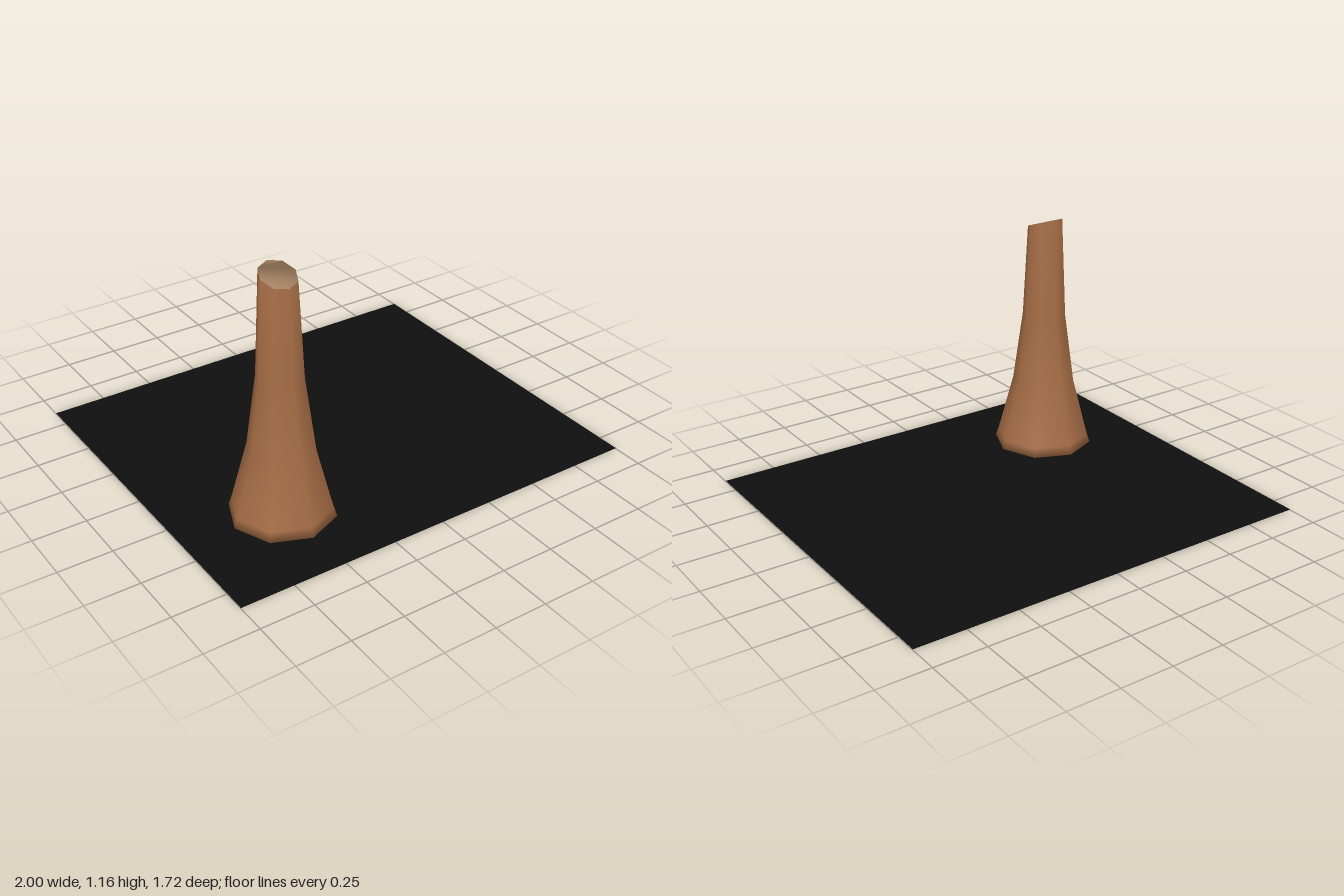
import * as THREE from 'three';

const bark = new THREE.MeshStandardMaterial({ color: 0xa56c45 });
bark.name = 'bark brown';
const cutWood = new THREE.MeshStandardMaterial({ color: 0xb8926f });
cutWood.name = 'cut wood tan';
const black = new THREE.MeshStandardMaterial({ color: 0x0e0e0e, side: THREE.DoubleSide });
black.name = 'base black';

const SIDES = 8;

// Flared eight-sided trunk; the last ring is sliced at a slant, both ends are closed.
function trunkGeometry() {
  const rings = [[0, 0.24], [0.045, 0.224], [0.33, 0.15], [0.67, 0.104], [1.13, 0.082]]; // height, radius
  const slant = 0.37;
  const positions = [];
  rings.forEach(([y, r], row) => {
    for (let i = 0; i < SIDES; i++) {
      const a = (i / SIDES) * Math.PI * 2; // corner 0 points to the front
      const z = Math.cos(a) * r;
      const top = row === rings.length - 1;
      positions.push(Math.sin(a) * r, top ? y - z * slant : y, z);
    }
  });

  // Side faces
  const index = [];
  for (let row = 0; row < rings.length - 1; row++) {
    for (let i = 0; i < SIDES; i++) {
      const a = row * SIDES + i;
      const b = row * SIDES + ((i + 1) % SIDES);
      index.push(a, b, b + SIDES, a, b + SIDES, a + SIDES);
    }
  }
  const sideCount = index.length;

  // End faces, filled in strips from front to back
  const cap = (start, up) => {
    const tri = (a, b, c) => index.push(start + a, start + (up ? b : c), start + (up ? c : b));
    for (let i = 0; i < SIDES / 2; i++) {
      const left = (SIDES - i) % SIDES;
      if (i < SIDES / 2 - 1) tri(i, i + 1, SIDES - i - 1);
      if (i > 0) tri(i, i === SIDES / 2 - 1 ? i + 1 : SIDES - i - 1, left);
    }
  };
  cap(0, false);
  cap((rings.length - 1) * SIDES, true);

  const geometry = new THREE.BufferGeometry();
  geometry.setAttribute('position', new THREE.Float32BufferAttribute(positions, 3));
  geometry.setIndex(index);
  geometry.addGroup(0, sideCount, 0);
  geometry.addGroup(sideCount, index.length - sideCount, 1);
  geometry.computeVertexNormals();
  return geometry;
}

export function createModel() {
  const model = new THREE.Group();
  model.name = 'treeStump';

  const trunk = new THREE.Mesh(trunkGeometry(), [bark, cutWood]);
  trunk.name = 'trunk';
  trunk.position.set(-0.52, 0, 0.402);
  model.add(trunk);

  // Thin flat sheet just above the underside of the trunk
  const plate = new THREE.Mesh(new THREE.PlaneGeometry(2, 1.715), black);
  plate.name = 'basePlate';
  plate.rotation.x = -Math.PI / 2;
  plate.position.y = 0.003;
  model.add(plate);

  return model;
}
